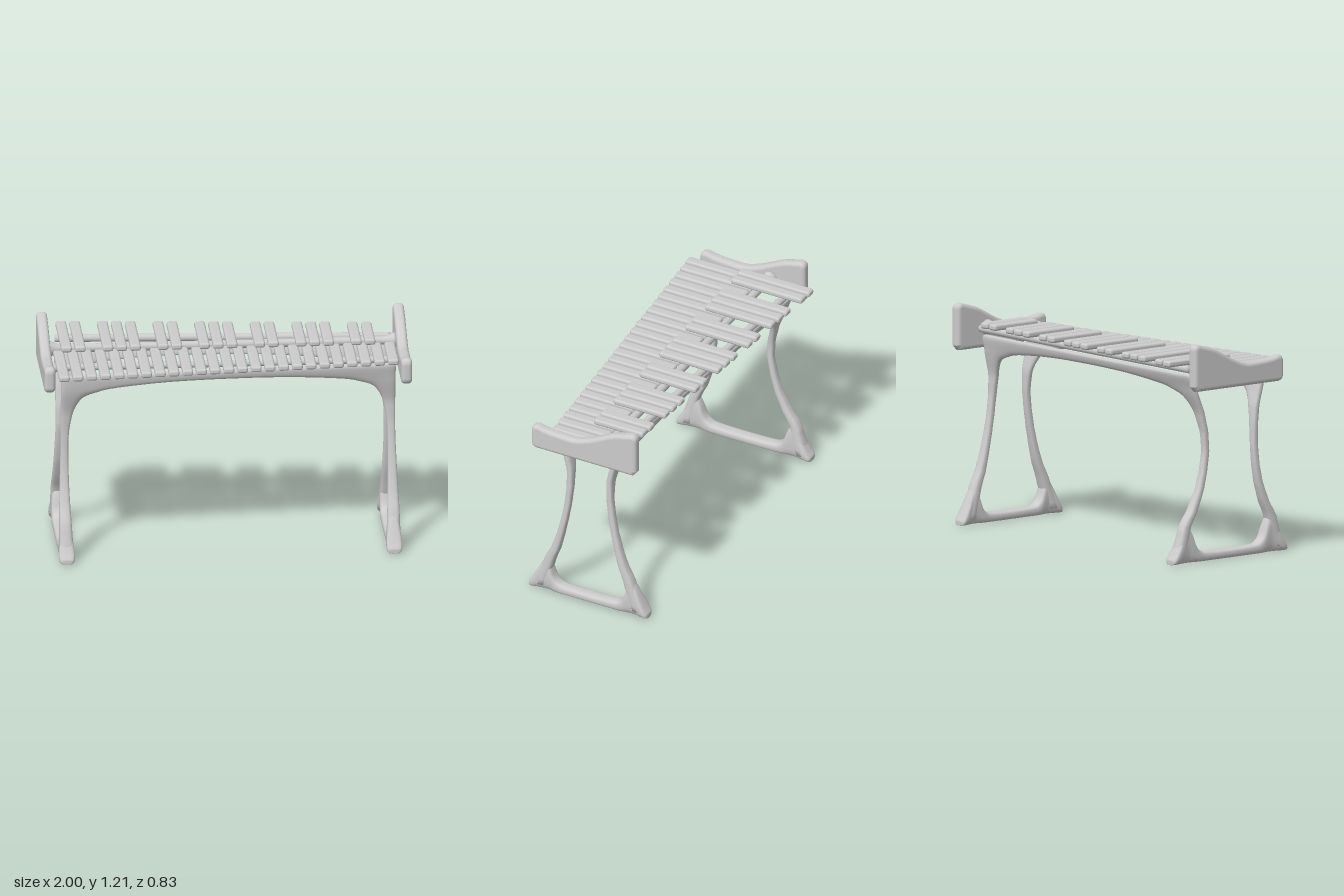
import * as THREE from 'three';
import { RoundedBoxGeometry } from 'three/addons/geometries/RoundedBoxGeometry.js';

const material = new THREE.MeshStandardMaterial({ color: 0xcccccc });

function add(parent, name, geometry, x = 0, y = 0, z = 0) {
  const mesh = new THREE.Mesh(geometry, material);
  mesh.name = name;
  mesh.position.set(x, y, z);
  parent.add(mesh);
  return mesh;
}

// Piecewise-linear lookup in rows sorted by their first entry
function lookup(rows, t, column) {
  let i = 0;
  while (i < rows.length - 2 && t > rows[i + 1][0]) i++;
  const f = THREE.MathUtils.smoothstep(t, rows[i][0], rows[i + 1][0]);
  const k = THREE.MathUtils.clamp((t - rows[i][0]) / (rows[i + 1][0] - rows[i][0]), 0, 1);
  return THREE.MathUtils.lerp(rows[i][column], rows[i + 1][column], k * 0.7 + f * 0.3);
}

// Closed solid through rings of points, facing outward
function loft(rings) {
  const n = rings[0].length;
  const points = rings.flat();
  const index = [];
  for (let i = 0; i < rings.length - 1; i++) {
    for (let j = 0; j < n; j++) {
      const a = i * n + j, b = i * n + (j + 1) % n;
      index.push(a, b, a + n, b, b + n, a + n);
    }
  }
  for (const [start, flip] of [[0, true], [(rings.length - 1) * n, false]]) {
    const centre = points.length;
    const mid = new THREE.Vector3();
    for (let j = 0; j < n; j++) mid.addScaledVector(points[start + j], 1 / n);
    points.push(mid);
    for (let j = 0; j < n; j++) {
      const a = start + j, b = start + (j + 1) % n;
      index.push(centre, flip ? b : a, flip ? a : b);
    }
  }
  let volume = 0;
  const cross = new THREE.Vector3();
  for (let i = 0; i < index.length; i += 3) {
    cross.crossVectors(points[index[i + 1]], points[index[i + 2]]);
    volume += points[index[i]].dot(cross);
  }
  if (volume < 0) index.reverse();
  const geometry = new THREE.BufferGeometry().setFromPoints(points);
  geometry.setIndex(index);
  geometry.computeVertexNormals();
  return geometry;
}

// Rounded-square cross-section, as unit pairs
const section = Array.from({ length: 20 }, (_, j) => {
  const a = (j / 20) * Math.PI * 2;
  const round = (v) => Math.sign(v) * Math.abs(v) ** 0.7;
  return [round(Math.cos(a)), round(Math.sin(a))];
});

// Leg lean by height: y, z at the narrow end, z at the wide end (front, back), half depth
const lean = [
  [0.03, 0.3, 0.355, 0.355, 0.035], [0.2, 0.243, 0.308, 0.308, 0.031],
  [0.3, 0.2, 0.255, 0.245, 0.025], [0.4, 0.173, 0.222, 0.2, 0.021],
  [0.5, 0.15, 0.203, 0.172, 0.019], [0.6, 0.133, 0.196, 0.156, 0.019],
  [0.7, 0.122, 0.196, 0.162, 0.019], [0.8, 0.121, 0.205, 0.185, 0.019],
  [0.94, 0.15, 0.24, 0.24, 0.021], [1.04, 0.172, 0.25, 0.28, 0.021],
];

// Outer and inner edge of half the arch: xOuter, yOuter, xInner, yInner
const archHalf = [
  [-0.93, 0.03, -0.85, 0.03], [-0.928, 0.2, -0.86, 0.2], [-0.92, 0.4, -0.868, 0.4],
  [-0.913, 0.6, -0.87, 0.6], [-0.913, 0.72, -0.865, 0.7], [-0.913, 0.85, -0.846, 0.8],
  [-0.913, 0.96, -0.82, 0.86], [-0.905, 1.025, -0.785, 0.9], [-0.83, 1.03, -0.72, 0.925],
  [-0.68, 1.03, -0.62, 0.947], [-0.35, 1.03, -0.33, 0.97], [0, 1.03, 0, 0.976],
];

// Two legs and the rail between them, as one arch
function archGeometry(side) {
  const right = archHalf.slice(0, -1).reverse().map(([a, b, c, d]) => [-a, b, -c, d]);
  const rows = [...archHalf, ...right];
  const outer = new THREE.CatmullRomCurve3(rows.map((r) => new THREE.Vector3(r[0], r[1], 0)), false, 'catmullrom');
  const inner = new THREE.CatmullRomCurve3(rows.map((r) => new THREE.Vector3(r[2], r[3], 0)), false, 'catmullrom');
  const rings = [];
  for (let i = 0; i <= 110; i++) {
    const o = outer.getPoint(i / 110), n = inner.getPoint(i / 110);
    rings.push(section.map(([u, v]) => {
      const p = o.clone().lerp(n, (1 - u) / 2);
      const wide = THREE.MathUtils.clamp((0.88 - p.x) / 1.76, 0, 1);
      const z = THREE.MathUtils.lerp(lookup(lean, p.y, 1), lookup(lean, p.y, side > 0 ? 2 : 3), wide);
      p.z = side * z + v * lookup(lean, p.y, 4);
      return p;
    }));
  }
  return loft(rings);
}

// Floor bar joining front and back leg: distance from middle, top height, half width
const footProfile = [
  [0, 0.05, 0.036], [0.15, 0.054, 0.036], [0.19, 0.068, 0.037], [0.215, 0.1, 0.037],
  [0.235, 0.16, 0.036], [0.26, 0.205, 0.034], [0.285, 0.175, 0.036], [0.32, 0.105, 0.042],
  [0.345, 0.055, 0.042], [0.358, 0.033, 0.034], [0.362, 0.025, 0.02],
];
function footGeometry(reach) {
  const half = footProfile.slice(1);
  const rows = [...half.map(([z, t, w]) => [-z, t, w]).reverse(), footProfile[0], ...half];
  const curve = new THREE.CatmullRomCurve3(rows.map((r) => new THREE.Vector3(...r)), false, 'catmullrom');
  const rings = [];
  for (let i = 0; i <= 80; i++) {
    const p = curve.getPoint(i / 80);
    rings.push(section.map(([u, v]) =>
      new THREE.Vector3(p.z * u, p.y * (1 + v) / 2, p.x * reach / 0.362)));
  }
  return loft(rings);
}

// Cheek at each end of the keyboard, with a top rising to the back
function panelGeometry() {
  const bevel = 0.022;
  const shape = new THREE.Shape();
  shape.moveTo(-0.293, 0.985);
  shape.quadraticCurveTo(-0.293, 0.972, -0.28, 0.972);
  shape.lineTo(0.298, 0.972);
  shape.lineTo(0.309, 0.985);
  shape.lineTo(0.309, 1.175);
  shape.quadraticCurveTo(0.309, 1.188, 0.295, 1.185);
  shape.splineThru([[0.2, 1.158], [0.13, 1.125], [0.05, 1.085], [-0.04, 1.055],
    [-0.13, 1.054], [-0.22, 1.06], [-0.28, 1.072]].map((p) => new THREE.Vector2(...p)));
  shape.quadraticCurveTo(-0.293, 1.074, -0.293, 1.06);
  const geometry = new THREE.ExtrudeGeometry(shape, {
    depth: 0.016, bevelThickness: bevel, bevelSize: bevel, bevelSegments: 6, curveSegments: 8,
  });
  geometry.translate(0, 0, -0.008);
  return geometry.rotateY(Math.PI / 2);
}

// Round rod between two points, with optional flared ends
function addRod(parent, name, from, to, radius, flare = radius) {
  const a = new THREE.Vector3(...from), b = new THREE.Vector3(...to);
  const h = a.distanceTo(b) / 2;
  const half = [[0, h], [flare, h], [flare * 0.7 + radius * 0.3, h - 0.02], [radius, h - 0.06], [radius, h - 0.1]];
  const profile = [...half.map(([r, y]) => new THREE.Vector2(r, -y)),
    ...half.reverse().map(([r, y]) => new THREE.Vector2(r, y))];
  const rod = add(parent, name, new THREE.LatheGeometry(profile, 20));
  rod.position.copy(a).lerp(b, 0.5);
  rod.quaternion.setFromUnitVectors(new THREE.Vector3(0, 1, 0), b.sub(a).normalize());
}

export function createModel() {
  const model = new THREE.Group();
  model.name = 'barPercussionInstrument';

  // Stand
  const stand = new THREE.Group();
  stand.name = 'stand';
  stand.position.x = 0.008;
  model.add(stand);
  add(stand, 'frontArch', archGeometry(1));
  add(stand, 'backArch', archGeometry(-1));
  add(stand, 'leftFoot', footGeometry(0.362), 0.892, 0, 0);
  add(stand, 'rightFoot', footGeometry(0.412), -0.892, 0, 0);

  // End panels and support rods
  add(model, 'leftEndPanel', panelGeometry(), 0.97);
  add(model, 'rightEndPanel', panelGeometry(), -0.97);
  addRod(model, 'middleRod', [-0.95, 1.06, -0.12], [0.95, 1.06, -0.12], 0.023, 0.048);
  addRod(model, 'backRod', [-0.9, 1.062, -0.285], [0.92, 1.062, -0.185], 0.021);
  addRod(model, 'innerFrontRod', [-0.95, 1.012, 0.06], [0.95, 1.012, 0.06], 0.018, 0.03);

  // Sounding bars, shortening toward the left end
  const addBar = (name, x, y, zBack, zFront) => {
    const length = zFront - zBack;
    add(model, name, new RoundedBoxGeometry(0.058, 0.034, length, 4, 0.013), x, y, (zFront + zBack) / 2);
  };
  const barX = (i) => -0.895 + 0.075 * i;
  for (let i = 0; i < 25; i++) {
    addBar('naturalBar', barX(i), 1.048, -0.085, 0.293 - 0.08 * barX(i));
  }
  for (const i of [0, 1, 3, 4, 5, 7, 8, 10, 11, 12, 14, 15, 17, 18, 19, 21, 22]) {
    const x = barX(i + 0.5);
    addBar('accidentalBar', x, 1.1, -0.347 + 0.085 * x, 0.025);
  }
  return model;
}
